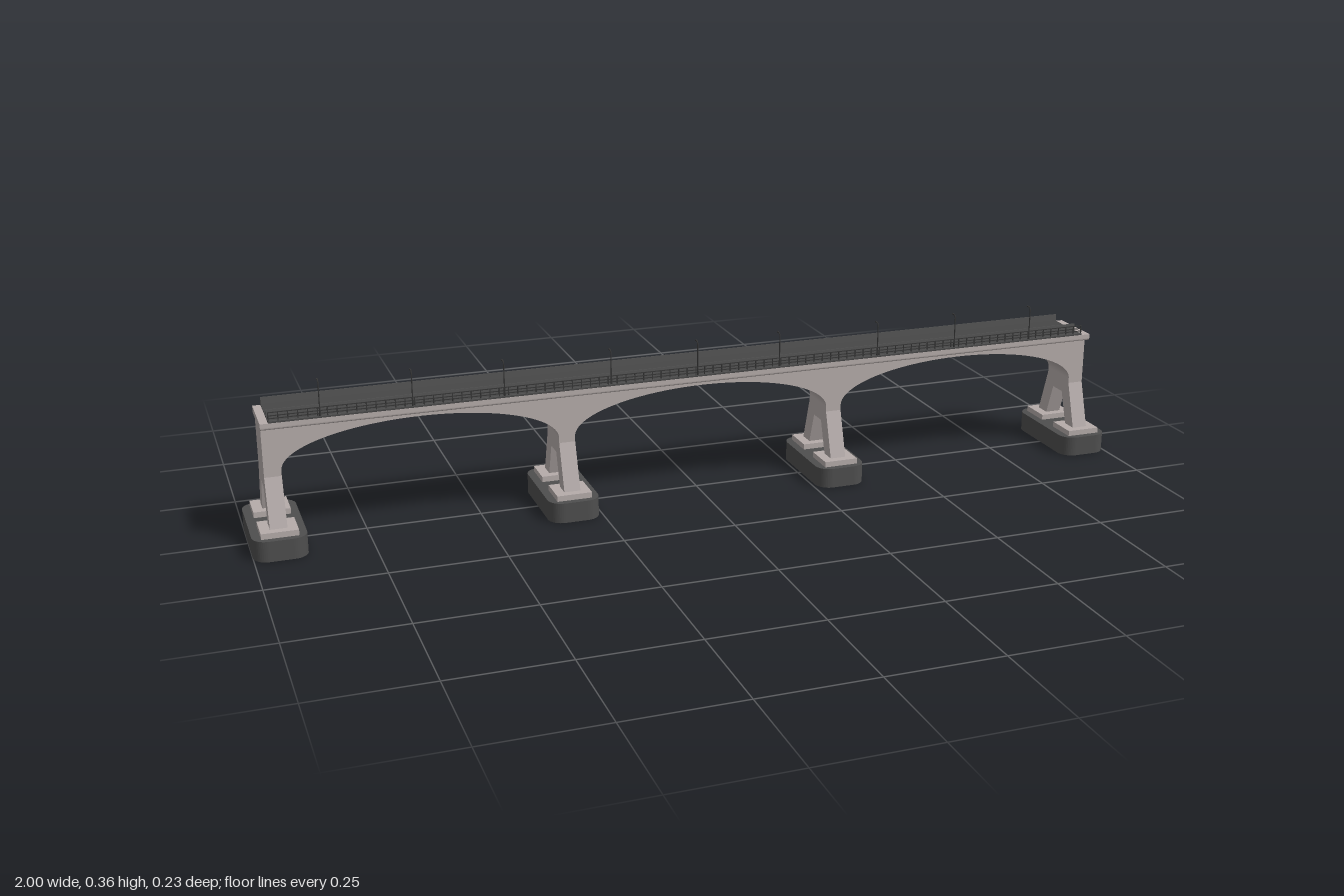
import * as THREE from 'three';

const material = (name, color) => {
  const m = new THREE.MeshStandardMaterial({ color });
  m.name = name;
  return m;
};

export function createModel() {
  const bridge = new THREE.Group();
  bridge.name = 'archBridge';
  const concrete = material('concrete', 0xb5acaa);
  const darkStone = material('darkStone', 0x4e4e4e);
  const asphalt = material('asphalt', 0x474747);
  const metal = material('darkMetal', 0x363636);

  const add = (name, geometry, mat, x = 0, y = 0, z = 0, parent = bridge) => {
    const mesh = new THREE.Mesh(geometry, mat);
    mesh.name = name;
    mesh.position.set(x, y, z);
    parent.add(mesh);
    return mesh;
  };
  const polygon = (pts) => new THREE.Shape(pts.map(([x, y]) => new THREE.Vector2(x, y)));
  // Extrude a (z, y) cross-section along x, centred on x = 0
  const alongX = (shape, length) => {
    const g = new THREE.ExtrudeGeometry(shape, { depth: length, bevelEnabled: false, curveSegments: 6 });
    g.translate(0, 0, -length / 2);
    g.rotateY(-Math.PI / 2);
    return g;
  };

  const pierX = [-0.943, -0.3143, 0.3143, 0.943];
  const half = 0.018;
  const spring = 0.16;

  // Spandrel walls with three elliptical arches
  const wall = new THREE.Shape();
  wall.moveTo(-0.961, 0.269);
  wall.lineTo(-0.961, spring);
  for (let i = 0; i < 3; i++) {
    const a = pierX[i] + half, b = pierX[i + 1] - half;
    wall.lineTo(a, spring);
    wall.lineTo(a, 0.172);
    wall.absellipse((a + b) / 2, 0.172, (b - a) / 2, 0.085, Math.PI, 0, true, 0);
    wall.lineTo(b, spring);
  }
  wall.lineTo(0.961, spring);
  wall.lineTo(0.961, 0.269);
  const wallGeo = new THREE.ExtrudeGeometry(wall, { depth: 0.095, bevelEnabled: false, curveSegments: 40 });
  add('archWalls', wallGeo, concrete, 0, 0, -0.0465);

  // Piers: splayed legs, pads and rounded footings
  const legShape = polygon([
    [-0.0465, spring], [-0.08, 0.056], [-0.044, 0.056], [-0.019, 0.131],
    [0.021, 0.131], [0.046, 0.056], [0.082, 0.056], [0.0485, spring],
  ]);
  const legGeo = alongX(legShape, half * 2);
  const footing = new THREE.Shape();
  const fx = 0.057, fz = 0.115, r = 0.032;
  footing.moveTo(-fx + r, -fz);
  footing.lineTo(fx - r, -fz);
  footing.absarc(fx - r, -fz + r, r, -Math.PI / 2, 0);
  footing.absarc(fx - r, fz - r, r, 0, Math.PI / 2);
  footing.absarc(-fx + r, fz - r, r, Math.PI / 2, Math.PI);
  footing.absarc(-fx + r, -fz + r, r, Math.PI, Math.PI * 1.5);
  const footingGeo = new THREE.ExtrudeGeometry(footing, { depth: 0.045, bevelEnabled: false, curveSegments: 6 });
  footingGeo.rotateX(-Math.PI / 2);
  const padGeo = new THREE.BoxGeometry(0.078, 0.013, 0.073);
  pierX.forEach((x) => {
    const pier = new THREE.Group();
    pier.name = 'pier';
    pier.position.x = x;
    bridge.add(pier);
    add('splayedLegs', legGeo, concrete, 0, 0, 0, pier);
    add('footing', footingGeo, darkStone, 0, 0, 0, pier);
    add('legPadFront', padGeo, concrete, 0, 0.051, 0.0635, pier);
    add('legPadBack', padGeo, concrete, 0, 0.051, -0.062, pier);
  });

  // Deck slab with rounded lower edges
  const deck = new THREE.Shape();
  deck.moveTo(-0.062, 0.282);
  deck.lineTo(-0.062, 0.273);
  deck.quadraticCurveTo(-0.062, 0.267, -0.056, 0.267);
  deck.lineTo(0.059, 0.267);
  deck.quadraticCurveTo(0.065, 0.267, 0.065, 0.273);
  deck.lineTo(0.065, 0.282);
  add('deck', alongX(deck, 1.926), concrete);

  // Road and footway surfaces
  add('road', new THREE.BoxGeometry(1.888, 0.003, 0.082), asphalt, -0.002, 0.2828, -0.0155);
  add('footway', new THREE.BoxGeometry(1.888, 0.003, 0.034), asphalt, -0.002, 0.2828, 0.0475);

  // Tapered traffic barriers
  const barrier = polygon([
    [-0.005, 0], [0.005, 0], [0.0042, 0.004], [0.0012, 0.017], [-0.0012, 0.017], [-0.0042, 0.004],
  ]);
  const barrierGeo = alongX(barrier, 1.888);
  add('innerBarrier', barrierGeo, darkStone, -0.002, 0.283, 0.028);
  add('outerBarrier', barrierGeo, darkStone, -0.002, 0.283, -0.058);

  // Footway railing
  const railing = new THREE.Group();
  railing.name = 'railing';
  bridge.add(railing);
  const railGeo = new THREE.BoxGeometry(1.888, 0.0018, 0.0018);
  [0.291, 0.297, 0.304].forEach((y) => add('rail', railGeo, metal, -0.002, y, 0.061, railing));
  add('railKerb', new THREE.BoxGeometry(1.888, 0.004, 0.006), darkStone, -0.002, 0.284, 0.061, railing);
  const postGeo = new THREE.BoxGeometry(0.0022, 0.022, 0.0022);
  for (let i = 0; i <= 94; i++) add('railPost', postGeo, metal, -0.945 + i * 0.02006, 0.2935, 0.061, railing);

  // Street lamps with arms reaching over the footway
  const lampPath = new THREE.CurvePath();
  const v = (y, z) => new THREE.Vector3(0, y, z);
  lampPath.add(new THREE.LineCurve3(v(0.282, 0.061), v(0.353, 0.061)));
  lampPath.add(new THREE.QuadraticBezierCurve3(v(0.353, 0.061), v(0.361, 0.061), v(0.361, 0.054)));
  lampPath.add(new THREE.LineCurve3(v(0.361, 0.054), v(0.361, 0.048)));
  const lampGeo = new THREE.TubeGeometry(lampPath, 40, 0.0013, 6, false);
  const headGeo = new THREE.BoxGeometry(0.003, 0.0025, 0.009);
  const baseGeo = new THREE.CylinderGeometry(0.0018, 0.0026, 0.02, 8);
  [-0.84, -0.648, -0.452, -0.216, -0.018, 0.175, 0.414, 0.608, 0.802].forEach((x) => {
    const lamp = new THREE.Group();
    lamp.name = 'streetLamp';
    lamp.position.x = x;
    bridge.add(lamp);
    add('lampPole', lampGeo, metal, 0, 0, 0, lamp);
    add('lampHead', headGeo, metal, 0, 0.361, 0.051, lamp);
    add('lampBase', baseGeo, metal, 0, 0.293, 0.061, lamp);
  });

  return bridge;
}
